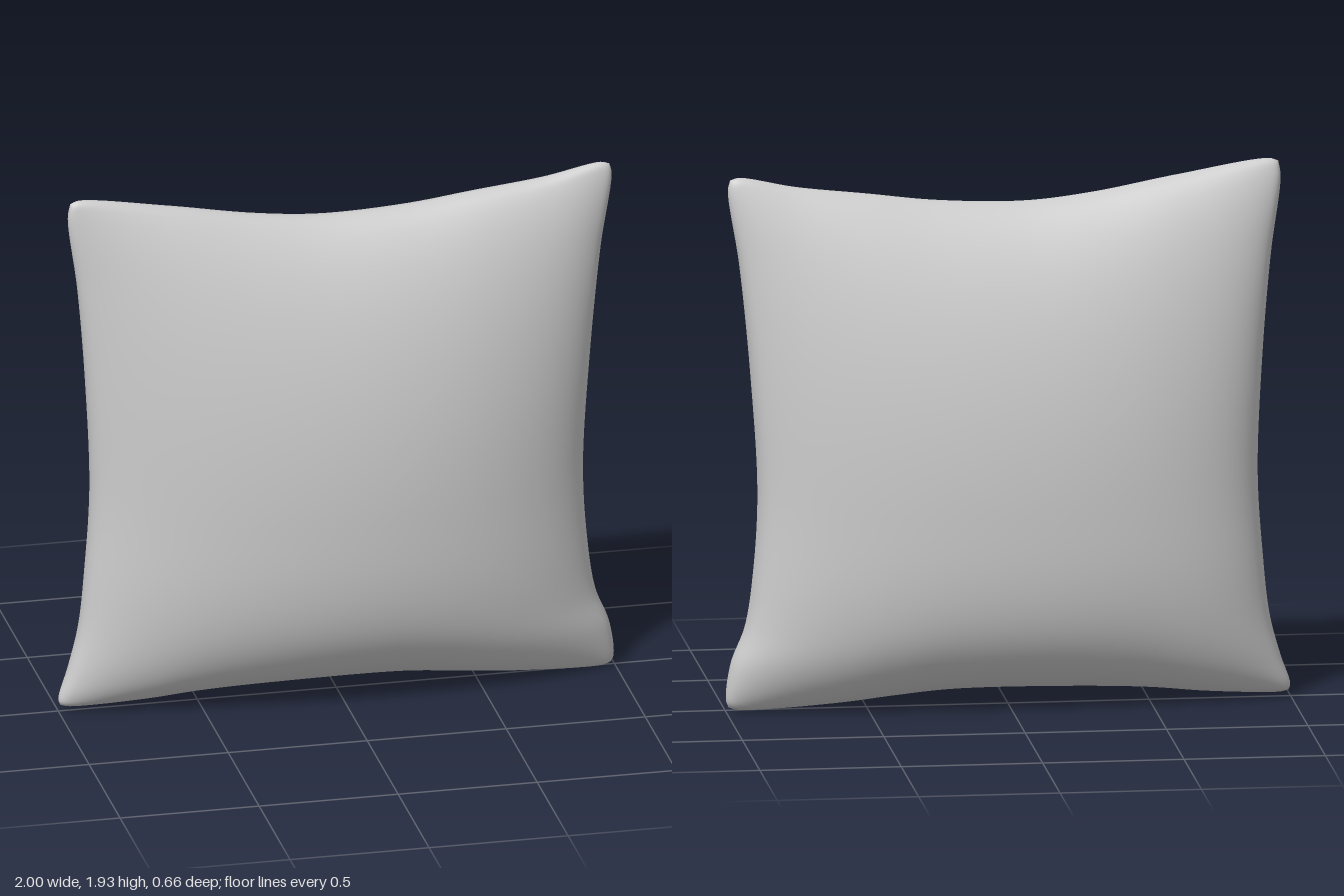
import * as THREE from 'three';
import { mergeVertices } from 'three/addons/utils/BufferGeometryUtils.js';

const N = 72;

// smooth seam line through a few [x, y] points
const seam = (pts) => new THREE.CatmullRomCurve3(pts.map(([x, y]) => new THREE.Vector3(x, y, 0)), false, 'centripetal');

// slightly rounded corners, shared by neighbouring seams
const TL = [-0.957, 1.925], TR = [0.982, 1.905], BL = [-0.992, 0.024], BR = [0.988, 0.012];
const top = seam([TL, [-0.925, 1.935], [-0.6, 1.885], [-0.3, 1.83], [-0.06, 1.805], [0.25, 1.815], [0.5, 1.845], [0.75, 1.875], [0.95, 1.913], TR]);
const bottom = seam([BL, [-0.96, 0.018], [-0.7, 0.03], [-0.5, 0.05], [-0.2, 0.063], [0.2, 0.063], [0.4, 0.045], [0.6, 0.022], [0.955, 0.003], BR]);
const left = seam([BL, [-0.999, 0.045], [-0.965, 0.15], [-0.925, 0.3], [-0.9, 0.52], [-0.882, 0.82], [-0.9, 1.25], [-0.93, 1.6], [-0.965, 1.87], TL]);
const right = seam([BR, [0.997, 0.04], [0.98, 0.17], [0.93, 0.3], [0.9, 0.5], [0.885, 0.78], [0.91, 1.2], [0.95, 1.6], [0.99, 1.87], TR]);

// narrow round fold along the seam
const fold = (t) => {
  const d = Math.min(t, 1 - t, 0.012) / 0.012;
  return Math.sqrt(Math.max(0, 1 - (1 - d) ** 2));
};

// stuffing: fuller at the back, sagging towards the bottom
function puff(u, v, side) {
  const a = Math.abs(2 * u - 1);
  const across = Math.pow(1 - a * a, side > 0 ? 0.58 : 0.45);
  const peak = 0.39;
  const b = v < peak ? (peak - v) / peak : (v - peak) / (1 - peak);
  const up = v < peak ? Math.pow(1 - b ** 3, 0.56) : Math.pow(1 - b * b, 0.65);
  return 0.318 * across * up + 0.012 * fold(u) * fold(v);
}

function pillowGeometry() {
  const params = Array.from({ length: N + 1 }, (_, i) => (1 - Math.cos(Math.PI * i / N)) / 2);
  const sample = (curve) => params.map((t) => curve.getPointAt(t));
  const [T, B, L, R] = [top, bottom, left, right].map(sample);
  const pos = [], idx = [];
  for (const side of [1, -1]) {
    const base = pos.length / 3;
    for (let j = 0; j <= N; j++) {
      for (let i = 0; i <= N; i++) {
        const u = params[i], v = params[j];
        // blend the four seams into one patch
        const mix = (k) => (1 - v) * B[i][k] + v * T[i][k] + (1 - u) * L[j][k] + u * R[j][k]
          - (1 - v) * ((1 - u) * B[0][k] + u * B[N][k]) - v * ((1 - u) * T[0][k] + u * T[N][k]);
        const onSeam = i === 0 || j === 0 || i === N || j === N;
        pos.push(mix('x'), mix('y'), onSeam ? 0 : side * puff(u, v, side));
      }
    }
    for (let j = 0; j < N; j++) {
      for (let i = 0; i < N; i++) {
        const a = base + j * (N + 1) + i, b = a + 1, c = b + N + 1, d = a + N + 1;
        if (side > 0) idx.push(a, b, c, a, c, d);
        else idx.push(a, c, b, a, d, c);
      }
    }
  }
  let geo = new THREE.BufferGeometry();
  geo.setAttribute('position', new THREE.Float32BufferAttribute(pos, 3));
  geo.setIndex(idx);
  geo = mergeVertices(geo, 1e-5); // join both faces along the seam
  geo.computeVertexNormals();
  return geo;
}

export function createModel() {
  const fabric = new THREE.MeshStandardMaterial({ color: 0xcccccc });
  fabric.name = 'grey fabric';
  const cushion = new THREE.Mesh(pillowGeometry(), fabric);
  cushion.name = 'cushion';
  const group = new THREE.Group();
  group.name = 'pillow';
  group.add(cushion);
  return group;
}
